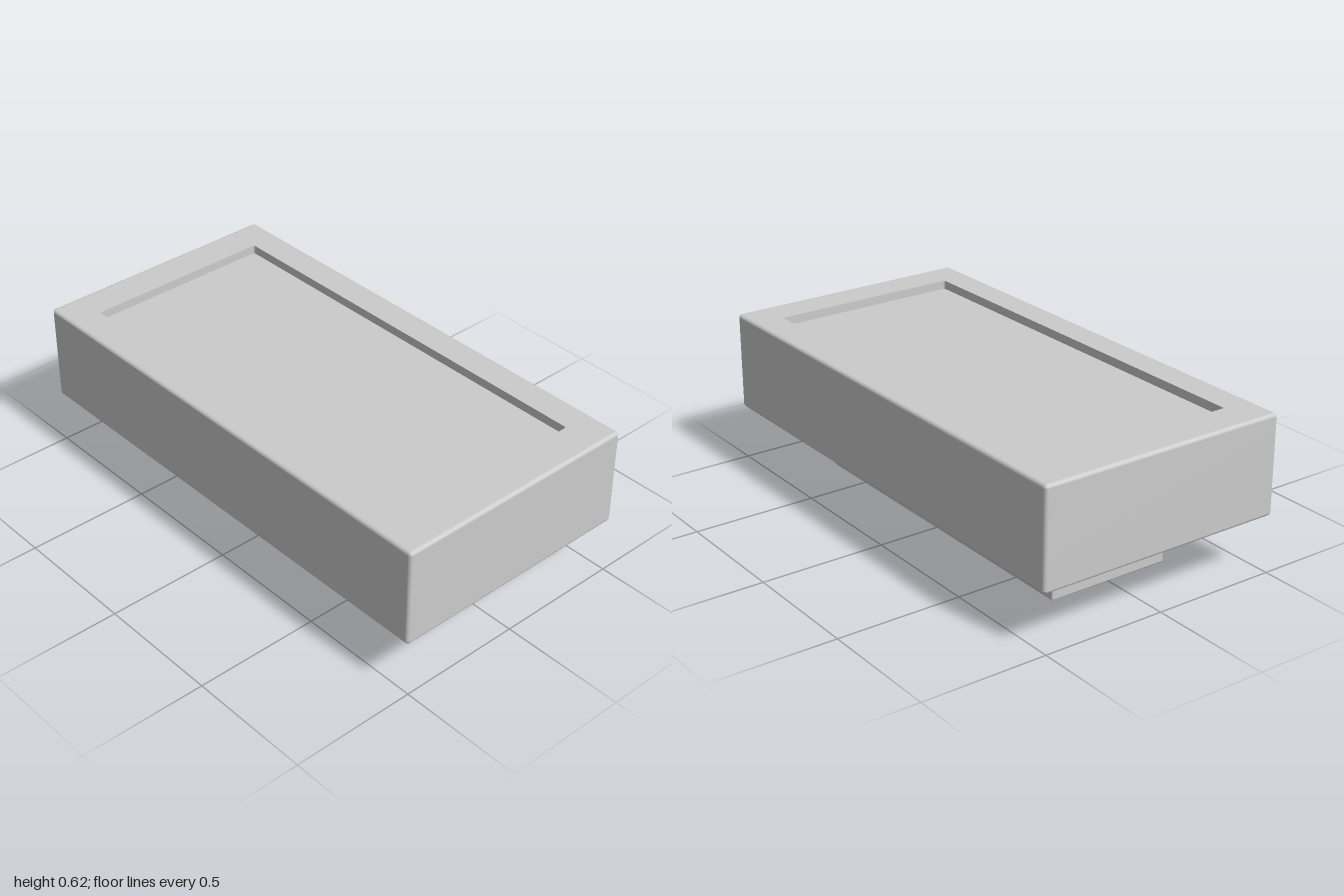
import * as THREE from 'three';

const STEPS = 4; // segments in every rounded edge

// One loop of a rounded rectangle, counted from +x towards +z.
function ring(hx, hz, r, y) {
  const pts = [];
  const signs = [[1, 1], [-1, 1], [-1, -1], [1, -1]];
  signs.forEach(([sx, sz], q) => {
    for (let i = 0; i <= STEPS; i++) {
      const a = (q + i / STEPS) * Math.PI / 2;
      pts.push([sx * (hx - r) + r * Math.cos(a), y, sz * (hz - r) + r * Math.sin(a)]);
    }
  });
  return pts;
}

// Skin a profile of [inset, y] around a rounded rectangle; inset null closes it at the centre.
function loft(hx, hz, r, profile) {
  const rings = profile.map(([d, y]) => d === null
    ? ring(0, 0, 0, y)
    : ring(hx - d, hz - d, Math.max(r - d, 0.0005), y));
  const n = rings[0].length;
  const index = [];
  for (let j = 0; j < rings.length - 1; j++) {
    for (let i = 0; i < n; i++) {
      const a = j * n + i, b = j * n + (i + 1) % n;
      index.push(a, a + n, b, b, a + n, b + n);
    }
  }
  // Fans to the centre use the other diagonal so each centre point gets a normal
  const geo = new THREE.BufferGeometry();
  geo.setAttribute('position', new THREE.Float32BufferAttribute(rings.flat(2), 3));
  geo.setIndex(index);
  geo.computeVertexNormals();
  return geo;
}

// Quarter-round profile points: lower edge runs outwards, upper edge runs inwards.
function round(r, y, upper) {
  return Array.from({ length: STEPS + 1 }, (_, i) => {
    const a = (i / STEPS) * Math.PI / 2;
    return upper
      ? [r * (1 - Math.cos(a)), y - r + r * Math.sin(a)]
      : [r * (1 - Math.sin(a)), y + r - r * Math.cos(a)];
  });
}

export function createModel() {
  const model = new THREE.Group();
  model.name = 'trayBlock';
  const material = new THREE.MeshStandardMaterial({ color: 0xcccccc });
  const add = (name, geometry) => {
    const mesh = new THREE.Mesh(geometry, material);
    mesh.name = name;
    model.add(mesh);
  };

  const X = 1, Z = 0.51, TOP = 0.62, SEAM = 0.225, R = 0.014;
  const RX = 0.855, RZ = 0.388, FLOOR = TOP - 0.035;

  // Foot block, with a small fillet where it meets the body
  const f = 0.01;
  const fillet = Array.from({ length: STEPS + 1 }, (_, i) => {
    const a = (i / STEPS) * Math.PI / 2;
    return [-f * (1 - Math.cos(a)), SEAM - f + f * Math.sin(a)];
  });
  add('foot', loft(0.72, 0.256, 0.008, [[null, 0], ...round(0.008, 0, false), ...fillet]));

  // Upper body: underside and sides with softened edges
  add('body', loft(X, Z, R, [[null, SEAM], ...round(R, SEAM, false), ...round(R, TOP, true)]));

  // Flat rim between the body edge and the recess
  const outer = ring(X - R, Z - R, 0.0005, TOP);
  const inner = ring(RX, RZ, 0.008, TOP);
  const toPath = (pts) => pts.map(([x, , z]) => new THREE.Vector2(x, -z));
  const rim = new THREE.Shape(toPath(outer));
  rim.holes.push(new THREE.Path(toPath(inner)));
  add('rim', new THREE.ShapeGeometry(rim).rotateX(-Math.PI / 2).translate(0, TOP, 0));

  // Sunken panel: walls and floor
  add('recessWall', loft(RX, RZ, 0.008, [[0, TOP], [0, FLOOR]]));
  add('recessFloor', loft(RX, RZ, 0.008, [[0, FLOOR], [null, FLOOR]]));

  return model;
}
